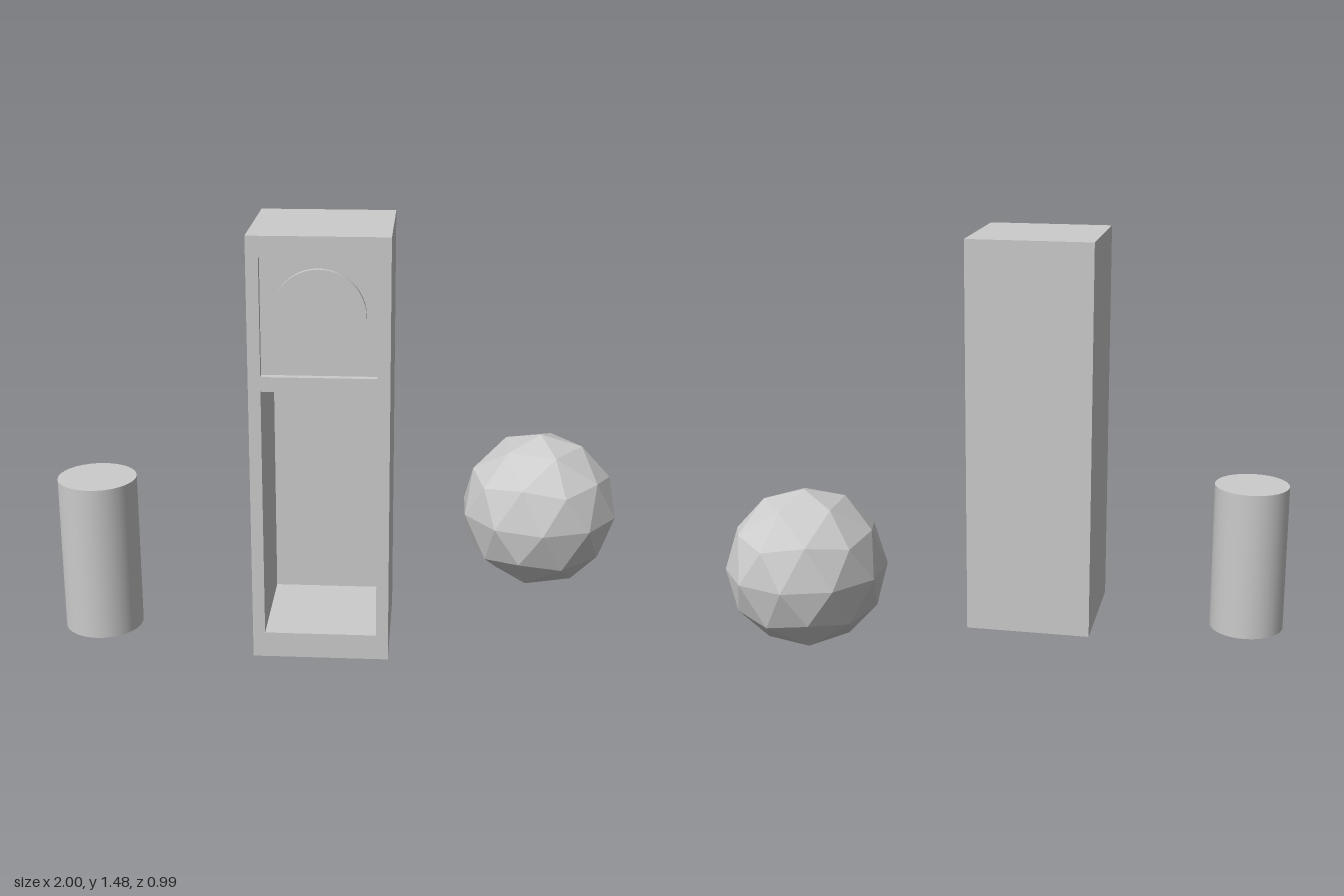
import * as THREE from 'three';

const grey = new THREE.MeshStandardMaterial({ color: 0xcccccc });
const greyFlat = new THREE.MeshStandardMaterial({ color: 0xcccccc, flatShading: true });

function add(group, name, geometry, x, y, z, material = grey) {
  const mesh = new THREE.Mesh(geometry, material);
  mesh.name = name;
  mesh.position.set(x, y, z);
  group.add(mesh);
  return mesh;
}

// Box without its front (+z) side; inward turns the walls to face the inside.
function openBox(w, h, d, inward = false) {
  const g = new THREE.BoxGeometry(w, h, d);
  let index = Array.from(g.index.array).filter((_, i) => i < 24 || i >= 30);
  if (inward) {
    index = index.reverse();
    const n = g.attributes.normal;
    for (let i = 0; i < n.count; i++) n.setXYZ(i, -n.getX(i), -n.getY(i), -n.getZ(i));
  }
  g.setIndex(index);
  g.clearGroups();
  return g;
}

function rectangle(PathType, x0, y0, x1, y1) {
  return new PathType([[x0, y0], [x1, y0], [x1, y1], [x0, y1]].map(([x, y]) => new THREE.Vector2(x, y)));
}

function createClock() {
  const clock = new THREE.Group();
  clock.name = 'longcaseClock';
  clock.position.set(-0.058, 0, 0.262);
  const width = 0.465, height = 1.475, front = width / 2, half = 0.191;

  // Outer case and front frame with two openings
  add(clock, 'case', openBox(width, height, width), 0, height / 2, 0);
  const frame = rectangle(THREE.Shape, -front, 0, front, height);
  const openings = [
    { name: 'pendulumCabinet', bottom: 0.09, top: 0.96, depth: 0.39 },
    { name: 'dialRecess', bottom: 1.01, top: 1.405, depth: 0.025 },
  ];
  for (const { name, bottom, top, depth } of openings) {
    frame.holes.push(rectangle(THREE.Path, -half, bottom, half, top));
    add(clock, name, openBox(half * 2, top - bottom, depth, true), 0, (bottom + top) / 2, front - depth / 2);
  }
  add(clock, 'frontFrame', new THREE.ShapeGeometry(frame), 0, 0, front);

  // Raised round dial inside the shallow recess
  const dial = new THREE.CylinderGeometry(0.154, 0.154, 0.018, 48).rotateX(Math.PI / 2);
  add(clock, 'dial', dial, 0, 1.213, front - 0.016);
  return clock;
}

export function createModel() {
  const model = new THREE.Group();
  model.name = 'clockWithSphereAndCylinder';
  model.add(createClock());

  // Smooth cylinder
  add(model, 'cylinder', new THREE.CylinderGeometry(0.138, 0.138, 0.56, 32), -0.862, 0.28, 0.26);

  // Faceted ball, turned so that one corner points straight up
  const ball = new THREE.IcosahedronGeometry(0.294, 1);
  ball.rotateZ(-Math.atan2(1, (1 + Math.sqrt(5)) / 2));
  add(model, 'facetedBall', ball, 0.72, 0.296, -0.202, greyFlat);

  return model;
}
